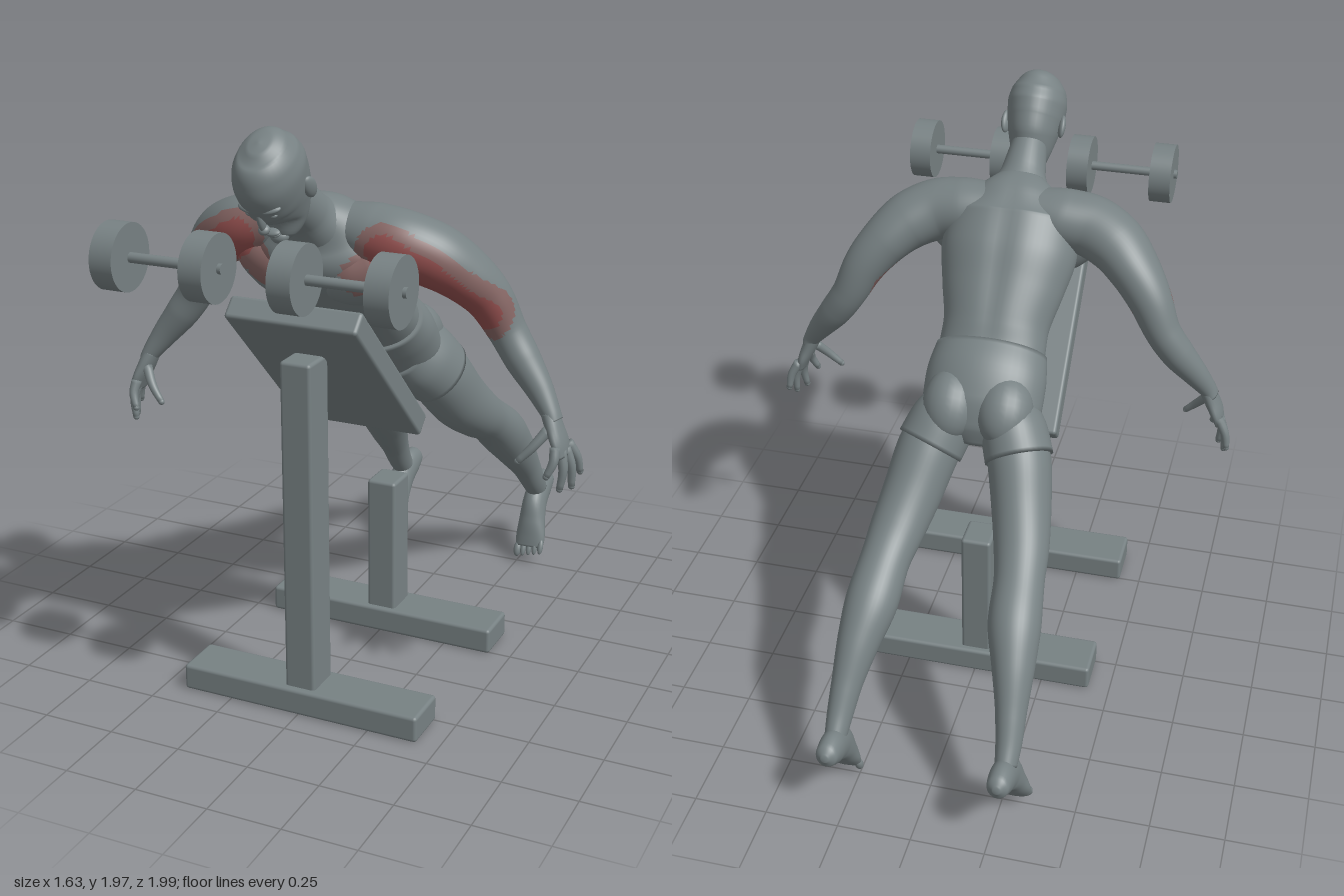
import * as THREE from 'three';
import { RoundedBoxGeometry } from 'three/addons/geometries/RoundedBoxGeometry.js';

const V = (x, y, z) => new THREE.Vector3(x, y, z);
const mat = (name, color) => Object.assign(new THREE.MeshStandardMaterial({ color }), { name });

// Centre line of the highlighted shoulder and upper-arm muscle
const muscle = [V(0.25, 1.56, 0.53), V(0.36, 1.5, 0.47), V(0.45, 1.41, 0.37), V(0.5, 1.36, 0.33)];
const chestLine = new THREE.Line3(V(0.25, 1.56, 0.53), V(0.17, 1.48, 0.53));

// 0 = plain, 1 = soft edge of the highlight, 2 = highlight
function muscleZone(p) {
  const q = V(Math.abs(p.x), p.y, p.z), hit = V();
  const dist = line => line.closestPointToPoint(q, true, hit).distanceTo(q);
  let d = Infinity;
  for (let i = 0; i < 3; i++) d = Math.min(d, dist(new THREE.Line3(muscle[i], muscle[i + 1])));
  if (d < 0.062) return 2;
  return d < 0.095 || dist(chestLine) < 0.06 ? 1 : 0;
}

// Smooth closed skin over oval sections [x, y, z, halfWidth, halfDepth];
// "hint" is the direction in which the width is measured
function loft(rows, { hint = V(1, 0, 0), steps = 6, sides = 32, shape = () => 1, zone = null } = {}) {
  const path = new THREE.CatmullRomCurve3(rows.map(r => V(r[0], r[1], r[2])));
  const size = new THREE.CatmullRomCurve3(rows.map(r => V(r[3], r[4], 0)));
  const n = (rows.length - 1) * steps, pos = [], groups = [[], [], []];
  for (let i = 0; i <= n; i++) {
    const t = path.getTangent(i / n), c = path.getPoint(i / n), s = size.getPoint(i / n);
    const u = hint.clone().addScaledVector(t, -hint.dot(t)).normalize();
    const v = t.clone().cross(u);
    for (let j = 0; j < sides; j++) {
      const a = j / sides * Math.PI * 2, k = shape(a, i / n);
      const p = c.clone().addScaledVector(u, Math.cos(a) * s.x * k).addScaledVector(v, Math.sin(a) * s.y * k);
      pos.push(p.x, p.y, p.z);
    }
  }
  const first = pos.length / 3;
  pos.push(...path.getPoint(0).toArray(), ...path.getPoint(1).toArray());
  const at = i => V(pos[3 * i], pos[3 * i + 1], pos[3 * i + 2]);
  const add = (a, b, c) => {
    const mid = at(a).add(at(b)).add(at(c)).divideScalar(3);
    groups[zone ? zone(mid) : 0].push(a, b, c);
  };
  for (let j = 0; j < sides; j++) {
    const k = (j + 1) % sides;
    for (let i = 0; i < n; i++) {
      const a = i * sides + j, b = i * sides + k;
      add(a, b, a + sides);
      add(b, b + sides, a + sides);
    }
    add(first, k, j);
    add(first + 1, n * sides + j, n * sides + k);
  }
  const g = new THREE.BufferGeometry();
  g.setAttribute('position', new THREE.Float32BufferAttribute(pos, 3));
  g.setIndex(groups.flat());
  let start = 0;
  if (zone) groups.forEach((f, m) => { g.addGroup(start, f.length, m); start += f.length; });
  g.computeVertexNormals();
  return g;
}

export function createModel() {
  const model = new THREE.Group();
  const grey = mat('grey', 0x778183);
  const blend = mat('softRed', 0x856563);
  const red = mat('muscleRed', 0x924f4e);
  const skin = [grey, blend, red];
  const add = (name, geometry, material = grey, parent = model) => {
    const m = new THREE.Mesh(geometry, material);
    m.name = name;
    parent.add(m);
    return m;
  };
  const box = (name, w, h, d, x, y, z) => {
    const m = add(name, new RoundedBoxGeometry(w, h, d, 2, 0.012));
    m.position.set(x, y, z);
    return m;
  };
  const blob = (name, p, r, parent = model) => {
    const m = add(name, new THREE.SphereGeometry(1, 24, 16), grey, parent);
    m.position.set(...p);
    m.scale.set(...r);
    return m;
  };

  // Bench
  box('frontFoot', 0.85, 0.09, 0.17, 0, 0.045, 0.575);
  box('frontPost', 0.107, 1.14, 0.13, 0, 0.645, 0.572);
  box('rearFoot', 0.85, 0.09, 0.168, 0, 0.045, -0.07);
  box('rearPost', 0.107, 0.5, 0.126, 0, 0.325, -0.068);
  box('pad', 0.452, 0.08, 0.706, 0, 1.126, 0.395).rotation.x = -Math.PI / 4;

  // Torso with a shallow spine groove
  const groove = (a, t) => 1 - 0.07 * Math.sin(Math.PI * Math.min(1, t)) * Math.exp(-(((a - Math.PI * 1.5) / 0.2) ** 2));
  add('torso', loft([
    [0, 1.67, 0.53, 0.08, 0.065], [0, 1.62, 0.475, 0.16, 0.12], [0, 1.555, 0.425, 0.235, 0.163],
    [0, 1.475, 0.345, 0.235, 0.165], [0, 1.38, 0.25, 0.21, 0.148], [0, 1.285, 0.16, 0.182, 0.132],
    [0, 1.22, 0.1, 0.183, 0.12], [0, 1.15, 0.03, 0.18, 0.12]
  ], { sides: 64, steps: 8, shape: groove, zone: muscleZone }), skin);
  add('shortsHips', loft([
    [0, 1.222, 0.102, 0.192, 0.129], [0, 1.16, 0.025, 0.206, 0.14], [0, 1.09, -0.035, 0.205, 0.135],
    [0, 1.02, -0.09, 0.16, 0.1], [0, 0.98, -0.12, 0.06, 0.05]
  ], { sides: 48 }));
  add('neck', loft([
    [0, 1.775, 0.68, 0.055, 0.06], [0, 1.725, 0.62, 0.066, 0.073],
    [0, 1.672, 0.55, 0.08, 0.078], [0, 1.6, 0.47, 0.14, 0.1]
  ]));

  // Head, tipped towards the floor
  const head = new THREE.Group();
  head.name = 'head';
  head.position.set(0, 1.8, 0.735);
  head.rotation.x = 0.67;
  model.add(head);
  add('skull', loft([
    [0, -0.165, 0.075, 0.02, 0.02], [0, -0.15, 0.062, 0.044, 0.045], [0, -0.11, 0.02, 0.07, 0.093],
    [0, -0.05, 0.002, 0.088, 0.124], [0, 0, 0, 0.098, 0.134], [0, 0.05, 0, 0.103, 0.138],
    [0, 0.1, -0.005, 0.094, 0.122], [0, 0.14, -0.01, 0.068, 0.088],
    [0, 0.16, -0.01, 0.036, 0.046], [0, 0.166, -0.01, 0.004, 0.004]
  ], { sides: 40 }), grey, head);
  blob('noseBridge', [0, -0.018, 0.128], [0.011, 0.04, 0.016], head).rotation.x = -0.25;
  blob('noseTip', [0, -0.052, 0.134], [0.018, 0.014, 0.018], head);
  blob('upperLip', [0, -0.093, 0.109], [0.027, 0.008, 0.015], head);
  blob('lowerLip', [0, -0.106, 0.105], [0.023, 0.008, 0.014], head);
  blob('chin', [0, -0.142, 0.084], [0.03, 0.022, 0.025], head);

  for (const s of [1, -1]) {
    const side = s > 0 ? 'left' : 'right';
    const flip = rows => rows.map(([x, ...r]) => [x * s, ...r]);
    const limb = (name, rows, options) => add(side + name, loft(flip(rows), options));

    // Face details
    blob(side + 'Ear', [s * 0.1, -0.022, -0.015], [0.013, 0.04, 0.024], head).rotation.y = s * -0.35;
    blob(side + 'Brow', [s * 0.036, 0.022, 0.116], [0.034, 0.01, 0.016], head).rotation.y = s * 0.3;
    blob(side + 'Eye', [s * 0.036, -0.004, 0.113], [0.016, 0.009, 0.012], head);

    // Chest and seat volumes
    const pec = add(side + 'Pec', loft(flip([
      [0.02, 1.465, 0.475, 0.03, 0.03], [0.06, 1.46, 0.465, 0.085, 0.075],
      [0.13, 1.46, 0.455, 0.1, 0.085], [0.2, 1.49, 0.44, 0.09, 0.08], [0.27, 1.53, 0.42, 0.06, 0.06]
    ]), { hint: V(0, 0.7, 0.7), zone: muscleZone }), skin);
    pec.name = side + 'Pec';
    blob(side + 'Glute', [s * 0.092, 1.118, -0.09], [0.096, 0.125, 0.098]).rotation.x = Math.PI / 4;

    // Arm
    add(side + 'Arm', loft(flip([
      [0.07, 1.61, 0.42, 0.09, 0.075], [0.17, 1.59, 0.42, 0.11, 0.1], [0.27, 1.57, 0.42, 0.112, 0.105],
      [0.36, 1.535, 0.385, 0.11, 0.1], [0.435, 1.475, 0.335, 0.1, 0.087], [0.5, 1.395, 0.29, 0.08, 0.075],
      [0.557, 1.285, 0.265, 0.064, 0.061], [0.61, 1.205, 0.272, 0.06, 0.057],
      [0.675, 1.12, 0.29, 0.045, 0.044], [0.72, 1.055, 0.308, 0.036, 0.031], [0.735, 1.03, 0.312, 0.036, 0.026]
    ]), { hint: V(0, 0, 1), sides: 48, steps: 8, zone: muscleZone }), skin);

    // Hand
    limb('Palm', [
      [0.715, 1.06, 0.308, 0.034, 0.028], [0.737, 1.01, 0.315, 0.046, 0.026],
      [0.757, 0.965, 0.318, 0.056, 0.022], [0.77, 0.925, 0.318, 0.05, 0.016]
    ], { hint: V(0, 0, 1), sides: 20 });
    const fingers = [
      [[0.755, 0.96, 0.358], [0.757, 0.92, 0.378], [0.74, 0.875, 0.392]],
      [[0.765, 0.945, 0.332], [0.778, 0.885, 0.342], [0.77, 0.822, 0.348]],
      [[0.77, 0.945, 0.305], [0.792, 0.885, 0.303], [0.794, 0.82, 0.302]],
      [[0.77, 0.955, 0.28], [0.797, 0.905, 0.266], [0.806, 0.855, 0.257]],
      [[0.725, 1.01, 0.335], [0.685, 0.955, 0.368], [0.643, 0.908, 0.384]]
    ];
    fingers.forEach(([a, b, c], i) => {
      limb(i < 4 ? 'Finger' + (i + 1) : 'Thumb', [[...a, 0.018, 0.018], [...b, 0.015, 0.015], [...c, 0.011, 0.011]],
        { hint: V(0, 0, 1), sides: 12, steps: 4 });
      blob(side + 'Fingertip' + (i + 1), [s * c[0], c[1], c[2]], [0.011, 0.011, 0.011]);
    });

    // Shorts leg, bare leg and foot
    limb('ShortsLeg', [
      [0.09, 1.09, -0.03, 0.095, 0.12], [0.125, 1.03, -0.085, 0.113, 0.132], [0.155, 0.967, -0.14, 0.116, 0.125]
    ], { sides: 40 });
    limb('Leg', [
      [0.135, 1.01, -0.1, 0.1, 0.11], [0.157, 0.96, -0.145, 0.107, 0.117], [0.19, 0.84, -0.25, 0.1, 0.11],
      [0.215, 0.755, -0.355, 0.092, 0.094], [0.23, 0.695, -0.45, 0.084, 0.083],
      [0.242, 0.615, -0.56, 0.088, 0.09], [0.262, 0.515, -0.66, 0.071, 0.081],
      [0.277, 0.41, -0.75, 0.052, 0.06], [0.285, 0.325, -0.815, 0.043, 0.051], [0.287, 0.27, -0.865, 0.036, 0.045]
    ], { sides: 40 });
    limb('Foot', [
      [0.285, 0.282, -0.986, 0.012, 0.012], [0.285, 0.278, -0.965, 0.036, 0.04], [0.285, 0.262, -0.91, 0.043, 0.06],
      [0.287, 0.225, -0.845, 0.045, 0.062], [0.291, 0.16, -0.802, 0.051, 0.043],
      [0.295, 0.1, -0.777, 0.058, 0.028], [0.296, 0.062, -0.762, 0.055, 0.018]
    ], { sides: 28 });
    for (let i = 0; i < 5; i++) {
      const r = i ? 0.011 : 0.015;
      blob(side + 'Toe' + (i + 1), [s * (0.25 + i * 0.0235), 0.047 + i * 0.006, -0.756], [r, 0.03, r]).rotation.x = -0.4;
    }

    // Dumbbell floating in front of the head
    const dumbbell = new THREE.Group();
    dumbbell.name = side + 'Dumbbell';
    dumbbell.position.set(s * 0.292, 1.57, 0.895);
    dumbbell.rotation.z = Math.PI / 2;
    model.add(dumbbell);
    add('handle', new THREE.CylinderGeometry(0.016, 0.016, 0.4, 20), grey, dumbbell);
    for (const e of [1, -1]) {
      add('weight', new THREE.CylinderGeometry(0.105, 0.105, 0.076, 48), grey, dumbbell).position.y = e * 0.15;
    }
  }
  return model;
}
